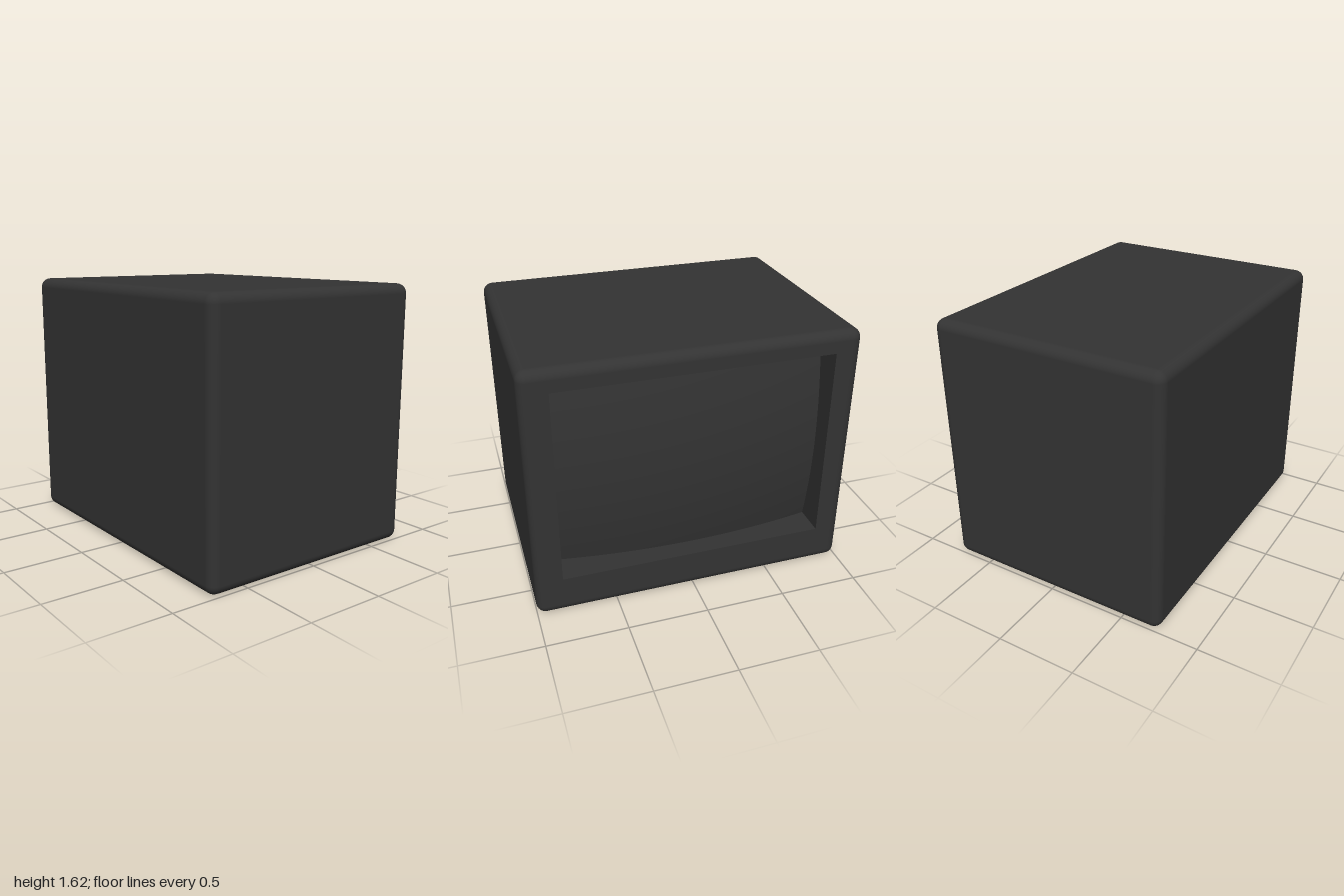
import * as THREE from 'three';
import { RoundedBoxGeometry } from 'three/addons/geometries/RoundedBoxGeometry.js';

const W = 2, H = 1.625, D = 1.5, R = 0.06;         // casing size and edge radius
const HW = 0.834, HH = 0.623, CY = 0.872;          // opening half sizes and centre height
const BACK = -D / 2;

// z of the bulging screen at x and y measured from the opening's centre
const screenZ = (x, y) => BACK + 0.065 + 0.1 * x * x + 0.155 * y * y;

const rect = (path, hw, hh, cy) => path
  .moveTo(-hw, cy - hh).lineTo(hw, cy - hh).lineTo(hw, cy + hh).lineTo(-hw, cy + hh).closePath();

// Rounded box without its flat back panel
function openCasing() {
  const box = new RoundedBoxGeometry(W, H, D, 5, R);
  const src = box.index ? box.toNonIndexed() : box;
  const p = src.attributes.position, n = src.attributes.normal;
  const pos = [], nor = [];
  for (let i = 0; i < p.count; i += 3) {
    if ([0, 1, 2].every(k => p.getZ(i + k) < BACK + 1e-4)) continue;
    for (let k = i; k < i + 3; k++) {
      pos.push(p.getX(k), p.getY(k), p.getZ(k));
      nor.push(n.getX(k), n.getY(k), n.getZ(k));
    }
  }
  const g = new THREE.BufferGeometry();
  g.setAttribute('position', new THREE.Float32BufferAttribute(pos, 3));
  g.setAttribute('normal', new THREE.Float32BufferAttribute(nor, 3));
  return g.translate(0, H / 2, 0);
}

// One wall of the recess, from the rim to the curved edge of the screen
function recessWall(ax, ay, bx, by) {
  const g = new THREE.PlaneGeometry(1, 1, 24, 1), p = g.attributes.position;
  for (let i = 0; i < p.count; i++) {
    const t = p.getX(i) + 0.5, inner = p.getY(i) > 0;
    const x = ax + (bx - ax) * t, y = ay + (by - ay) * t;
    p.setXYZ(i, x, y + CY, inner ? screenZ(x, y) : BACK);
  }
  g.computeVertexNormals();
  return g;
}

export function createModel() {
  const model = new THREE.Group();
  const mat = new THREE.MeshStandardMaterial({ color: 0x333333 });
  const wallMat = new THREE.MeshStandardMaterial({ color: 0x333333, side: THREE.DoubleSide });
  const add = (name, geometry, material = mat) => {
    const mesh = new THREE.Mesh(geometry, material);
    mesh.name = name;
    model.add(mesh);
  };

  add('casing', openCasing());

  // Flat frame around the opening
  const frame = rect(new THREE.Shape(), W / 2 - R, H / 2 - R, H / 2);
  frame.holes.push(rect(new THREE.Path(), HW, HH, CY));
  add('screenFrame', new THREE.ShapeGeometry(frame).rotateY(Math.PI).translate(0, 0, BACK));

  // Recess walls
  const corners = [[-HW, -HH], [-HW, HH], [HW, HH], [HW, -HH]];
  corners.forEach((c, i) => add('recessWall', recessWall(...c, ...corners[(i + 1) % 4]), wallMat));

  // Bulging screen
  const screen = new THREE.PlaneGeometry(2 * HW, 2 * HH, 24, 24).rotateY(Math.PI);
  const p = screen.attributes.position;
  for (let i = 0; i < p.count; i++) p.setZ(i, screenZ(p.getX(i), p.getY(i)));
  screen.computeVertexNormals();
  add('screen', screen.translate(0, CY, 0));

  return model;
}
